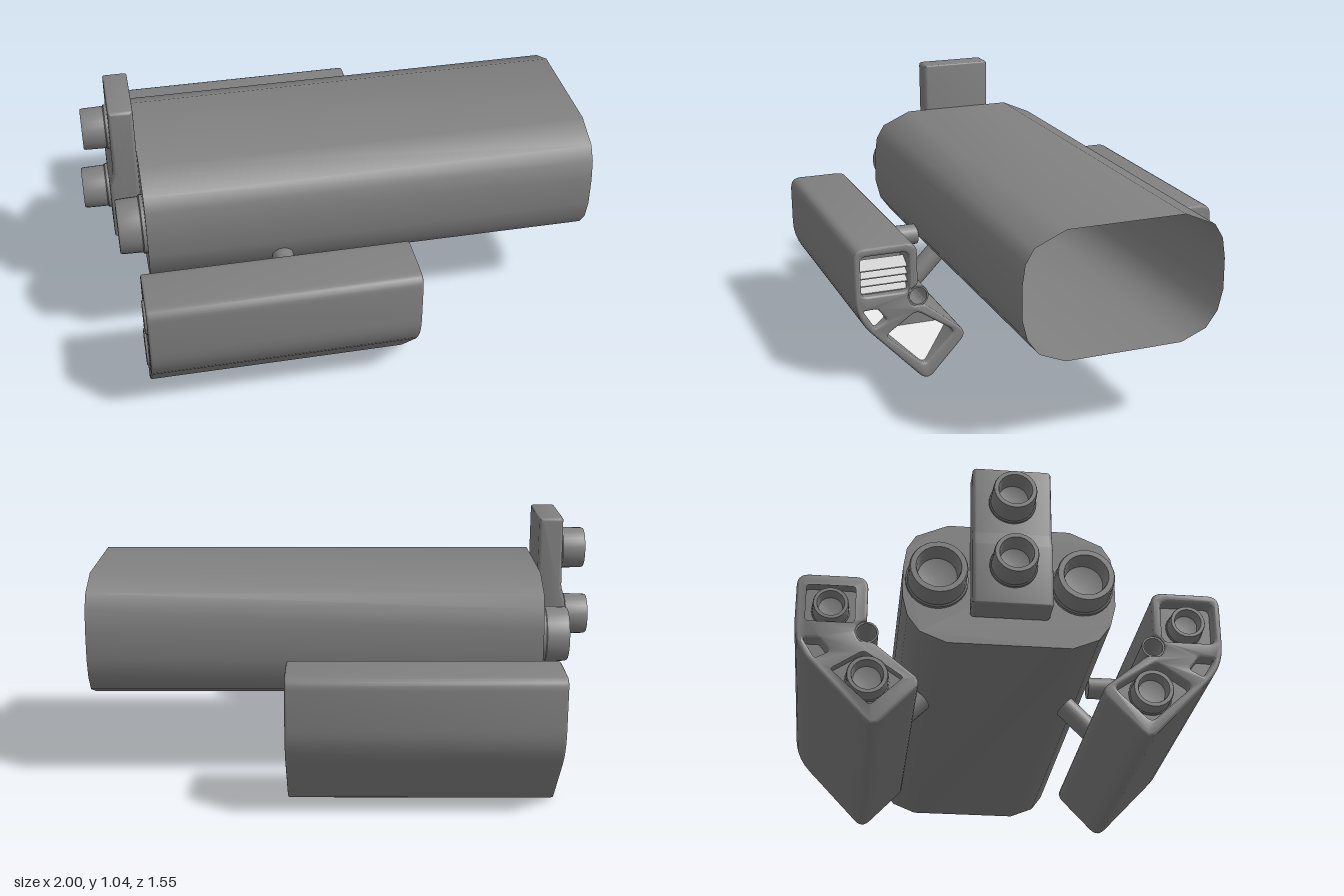
import * as THREE from 'three';
import { toCreasedNormals } from 'three/addons/utils/BufferGeometryUtils.js';

const grey = new THREE.MeshStandardMaterial({ color: 0x808080, side: THREE.DoubleSide });
const light = new THREE.MeshStandardMaterial({ color: 0xcccccc, side: THREE.DoubleSide });

function add(parent, name, geometry, x = 0, y = 0, z = 0, material = grey) {
  const mesh = new THREE.Mesh(geometry, material);
  mesh.name = name;
  mesh.position.set(x, y, z);
  parent.add(mesh);
  return mesh;
}

// Closed outline with rounded corners; a point's third number is its own radius
function rounded(points, r, target = new THREE.Shape()) {
  const p = points.map(([a, b]) => new THREE.Vector2(a, b));
  p.forEach((c, i) => {
    const prev = p[(i + p.length - 1) % p.length], next = p[(i + 1) % p.length];
    const radius = points[i][2] ?? r;
    const toward = (q) => c.clone().lerp(q, Math.min(0.45, radius / c.distanceTo(q)));
    const a = toward(prev), b = toward(next);
    if (i === 0) target.moveTo(a.x, a.y); else target.lineTo(a.x, a.y);
    target.quadraticCurveTo(c.x, c.y, b.x, b.y);
  });
  target.closePath();
  return target;
}

// Extrude a shape whose first coordinate is -z, running along x
function extrudeX(shape, x0, x1, bevel = 0) {
  const g = new THREE.ExtrudeGeometry(shape, {
    depth: x1 - x0 - 2 * bevel, curveSegments: 5, bevelEnabled: bevel > 0,
    bevelSize: bevel, bevelThickness: bevel, bevelOffset: -bevel, bevelSegments: 3,
  });
  return toCreasedNormals(g.rotateY(Math.PI / 2).translate(x0 + bevel, 0, 0), 0.6);
}

// Hollow engine bell opening toward -x
function nozzle(r, length) {
  const profile = [[1.06, 0], [1.06, 0.12], [1, 0.16], [0.98, 0.92], [0.94, 1], [0.76, 1], [0.72, 0.9], [0.66, 0.35], [0, 0.25]]
    .map(([a, b]) => new THREE.Vector2(a * r, b * length));
  return toCreasedNormals(new THREE.LatheGeometry(profile, 28).rotateZ(Math.PI / 2), 0.6);
}

// Cylinder between two points
function strut(parent, name, a, b, r) {
  const dir = b.clone().sub(a);
  const m = add(parent, name, new THREE.CylinderGeometry(r, r, dir.length(), 20));
  m.position.copy(a).addScaledVector(dir, 0.5);
  m.quaternion.setFromUnitVectors(new THREE.Vector3(0, 1, 0), dir.normalize());
}

function createHull() {
  const hull = new THREE.Group();
  hull.name = 'hull';
  const half = [[0.23, 0.347], [0.33, 0.388], [0.375, 0.45], [0.395, 0.53], [0.395, 0.65], [0.383, 0.73], [0.35, 0.785], [0.23, 0.838]];
  const ring = [...half, ...half.map(([z, y]) => [-z, y]).reverse()];

  // Shell, open at the +x end
  const pos = [], index = [];
  ring.forEach(([z, y]) => pos.push(-0.78, y, z, 1, y, z));
  ring.forEach((_, i) => {
    const a = 2 * i, b = 2 * ((i + 1) % ring.length);
    index.push(a, a + 1, b, b, a + 1, b + 1);
  });
  const shell = new THREE.BufferGeometry();
  shell.setAttribute('position', new THREE.Float32BufferAttribute(pos, 3));
  shell.setIndex(index);
  add(hull, 'hullShell', toCreasedNormals(shell, 0.75));

  // Rear bulkhead
  const cap = new THREE.Shape(ring.map(([z, y]) => new THREE.Vector2(z, y)));
  add(hull, 'rearBulkhead', new THREE.ShapeGeometry(cap).rotateY(-Math.PI / 2), -0.78);

  // Upright engine fin
  const fin = rounded([[-0.78, 0.455], [-0.78, 1.04], [-0.875, 1.04], [-0.878, 0.76], [-0.895, 0.7], [-0.895, 0.455]], 0.008);
  const b = 0.014;
  const finGeo = new THREE.ExtrudeGeometry(fin, { depth: 0.296 - 2 * b, bevelSize: b, bevelThickness: b, bevelOffset: -b, bevelSegments: 3, curveSegments: 4 });
  add(hull, 'engineFin', toCreasedNormals(finGeo.translate(0, 0, -0.148 + b), 0.6));

  // Main engines
  add(hull, 'upperEngine', nozzle(0.083, 0.105), -0.873, 0.89, 0);
  add(hull, 'lowerEngine', nozzle(0.083, 0.108), -0.892, 0.61, 0);
  for (const s of [-1, 1]) add(hull, 'sideEngine', nozzle(0.11, 0.105), -0.78, 0.6, s * 0.27);
  return hull;
}

function createPod(s) {
  const pod = new THREE.Group();
  pod.name = s > 0 ? 'frontPod' : 'backPod';
  const side = (pts) => pts.map(([z, y, r]) => [-s * z, y, r]);
  const outline = [[0.52, 0.574], [0.777, 0.574], [0.777, 0.285, 0.09], [0.49, -0.022], [0.315, 0.165],
    [0.495, 0.312, 0.01], [0.545, 0.314, 0.01], [0.563, 0.35, 0.01], [0.553, 0.378, 0.01], [0.52, 0.4, 0.01]];
  const pockets = {
    upper: [[0.555, 0.375], [0.555, 0.54], [0.75, 0.54], [0.75, 0.375]],
    lower: [[0.5, 0.052], [0.37, 0.18], [0.528, 0.287], [0.658, 0.2]],
    small: [[0.746, 0.316], [0.687, 0.318], [0.65, 0.268], [0.7, 0.24]],
  };

  // Casing with pockets opening at both ends
  const casing = rounded(side(outline), 0.045);
  for (const [key, p] of Object.entries(pockets)) {
    casing.holes.push(rounded(side(p), key === 'small' ? 0.01 : 0.025, new THREE.Path()));
  }
  add(pod, 'podCasing', extrudeX(casing, -0.825, 0.216, 0.009));

  // Pocket floors
  for (const [key, p] of Object.entries(pockets)) {
    add(pod, key + 'PocketFloor', extrudeX(rounded(side(p), 0.01), -0.77, 0.1));
  }

  // Bright sloping scoops at the +x end
  const scoops = { lowerScoop: [[0.5, 0.052], [0.37, 0.18], [0.383, 0.19], [0.648, 0.19]], smallScoop: pockets.small };
  for (const [name, p] of Object.entries(scoops)) {
    const g = extrudeX(rounded(side(p), 0.01), 0.09, 0.15);
    const at = g.attributes.position, low = Math.min(...p.map((q) => q[1]));
    for (let i = 0; i < at.count; i++) {
      if (at.getX(i) > 0.12) at.setX(i, 0.195 - (at.getY(i) - low) * 0.7);
    }
    g.computeVertexNormals();
    add(pod, name, g, 0, 0, 0, light);
  }

  // Louvres
  for (let i = 0; i < 4; i++) {
    const slat = add(pod, 'louvre', new THREE.BoxGeometry(0.06, 0.006, 0.196), 0.16, 0.392 + i * 0.031, s * 0.6525, light);
    slat.rotation.z = -0.5;
  }

  // Open conduit along the inner corner
  const tube = new THREE.Shape().absarc(-s * 0.52, 0.35, 0.042, 0, Math.PI * 2, false);
  tube.holes.push(new THREE.Path().absarc(-s * 0.52, 0.35, 0.035, 0, Math.PI * 2, true));
  const tubeGeo = new THREE.ExtrudeGeometry(tube, { depth: 1.036, bevelEnabled: false, curveSegments: 24 });
  add(pod, 'conduit', toCreasedNormals(tubeGeo.rotateY(Math.PI / 2).translate(-0.822, 0, 0), 0.6));

  // Pod engines
  add(pod, 'upperPodEngine', nozzle(0.066, 0.065), -0.767, 0.456, s * 0.652);
  add(pod, 'lowerPodEngine', nozzle(0.076, 0.065), -0.767, 0.18, s * 0.512);

  // Struts ending at the hull skin
  const v = (y, z) => new THREE.Vector3(-0.255, y, s * z);
  strut(pod, 'levelStrut', v(0.442, 0.378), v(0.442, 0.54), 0.043);
  strut(pod, 'diagonalStrut', v(0.357, 0.285), v(0.215, 0.425), 0.043);
  return pod;
}

export function createModel() {
  const model = new THREE.Group();
  model.name = 'spacecraft';
  model.add(createHull(), createPod(1), createPod(-1));
  return model;
}
